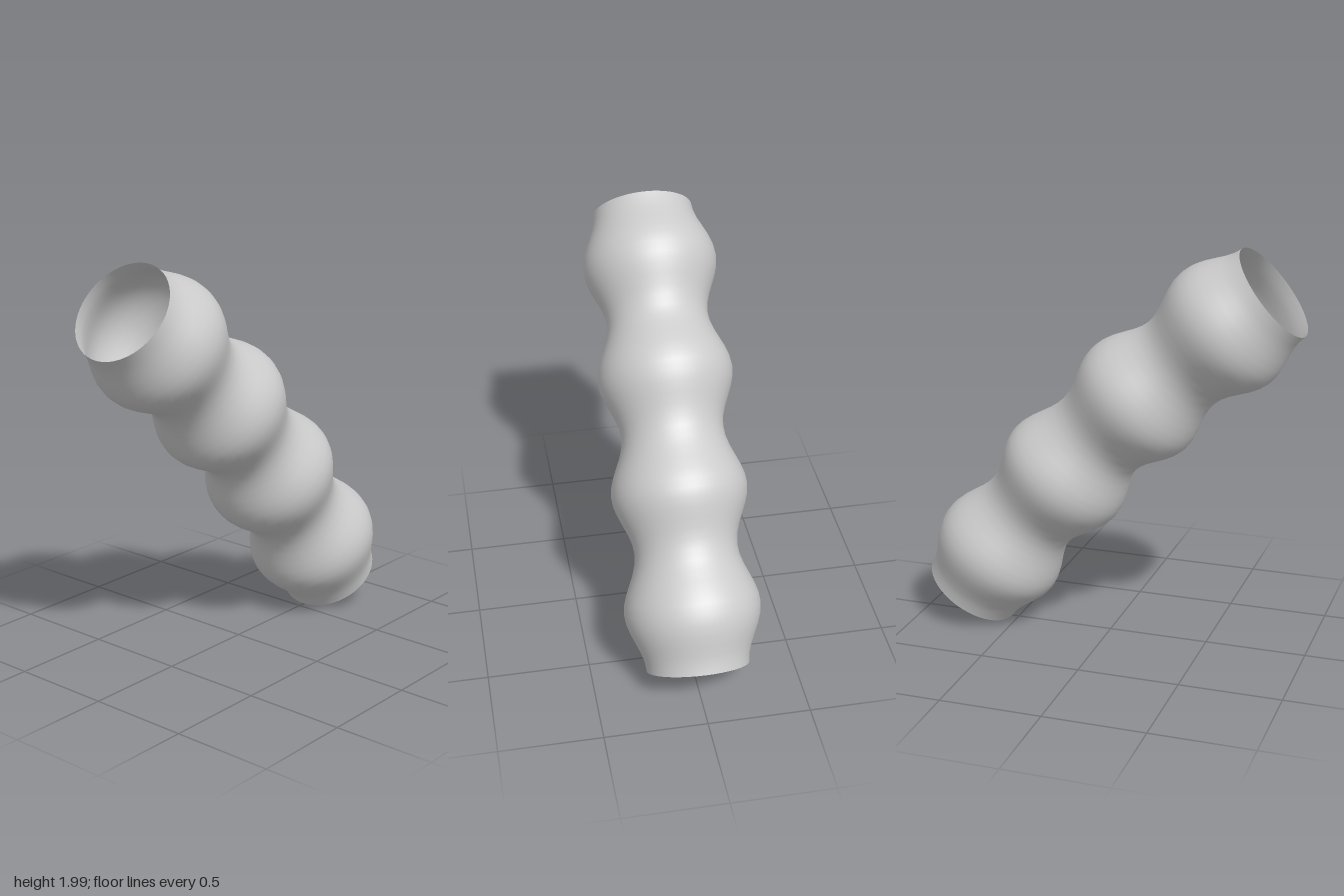
import * as THREE from 'three';
import { mergeVertices } from 'three/addons/utils/BufferGeometryUtils.js';

const BULGES = 4, MEAN_RADIUS = 0.29, SWELL = 0.041;
const STEPS = 48, SIDES = 64;

export function createModel() {
  const group = new THREE.Group();
  group.name = 'bulgedPipe';

  // Gently bending centre line, from the upper end to the lower end
  const path = new THREE.CatmullRomCurve3([
    [-0.79, 1.81], [-0.58, 1.64], [-0.365, 1.45], [-0.135, 1.24], [0.07, 1.03],
    [0.255, 0.81], [0.43, 0.6], [0.595, 0.38], [0.745, 0.15],
  ].map(([x, y]) => new THREE.Vector3(x, y, 0)));

  // Unit tube whose rings are rescaled to swell and narrow along the path
  let geometry = new THREE.TubeGeometry(path, STEPS, 1, SIDES, false);
  const pos = geometry.attributes.position;
  const v = new THREE.Vector3();
  for (let i = 0; i <= STEPS; i++) {
    const t = i / STEPS;
    const centre = path.getPointAt(t);
    const radius = MEAN_RADIUS - SWELL * Math.cos(2 * Math.PI * BULGES * t);
    for (let j = 0; j <= SIDES; j++) {
      const k = i * (SIDES + 1) + j;
      v.fromBufferAttribute(pos, k).sub(centre).multiplyScalar(radius).add(centre);
      pos.setXYZ(k, v.x, v.y, v.z);
    }
  }

  // Weld the lengthwise seam so the shading is smooth all round
  geometry.deleteAttribute('uv');
  geometry.deleteAttribute('normal');
  geometry = mergeVertices(geometry, 1e-5);
  geometry.computeVertexNormals();

  // Open at both ends, so the inside shows
  const pipe = new THREE.Mesh(geometry, new THREE.MeshStandardMaterial({
    color: 0xcccccc, side: THREE.DoubleSide,
  }));
  pipe.name = 'pipeWall';
  group.add(pipe);
  return group;
}
